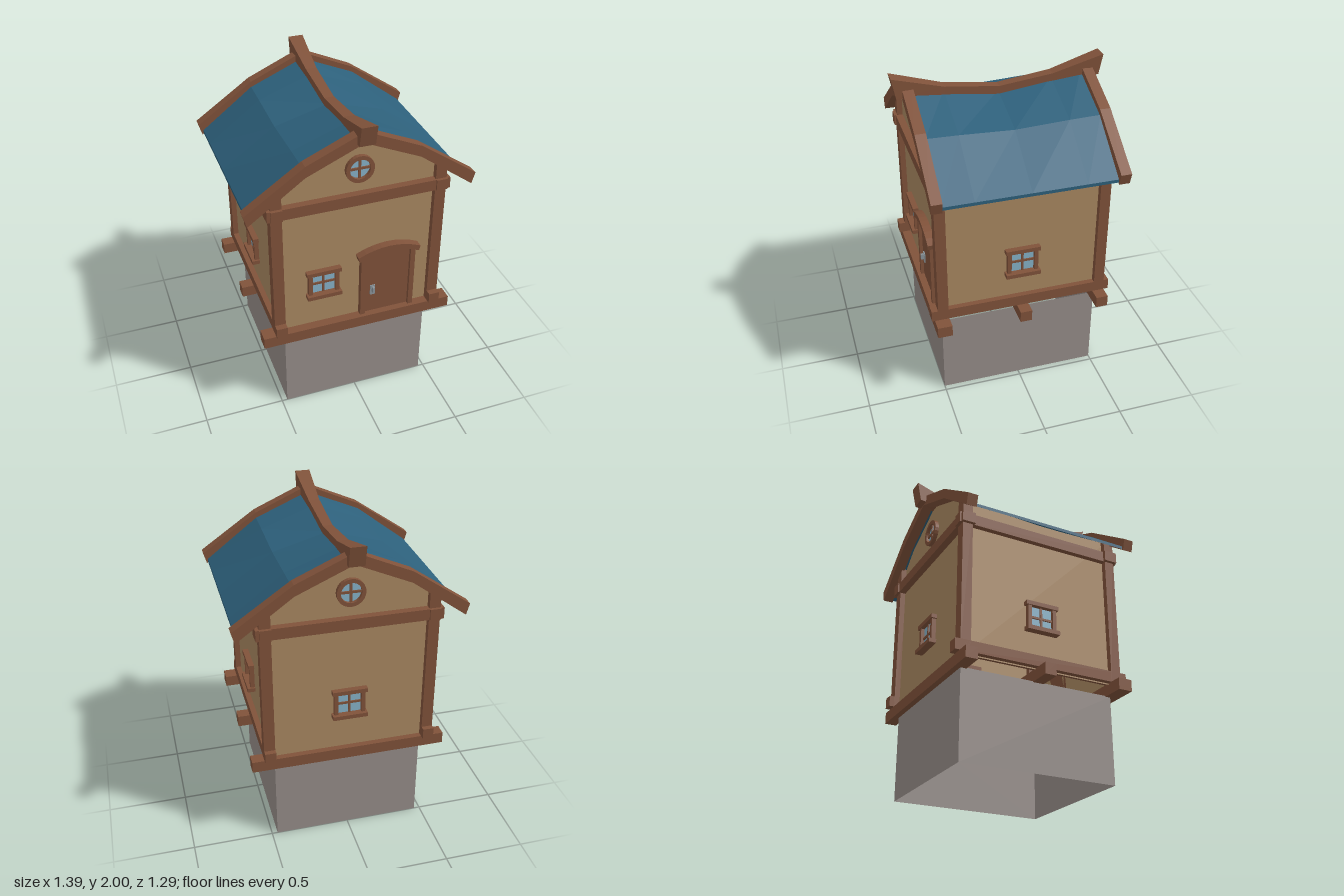
import * as THREE from 'three';

const mat = (name, color, side = THREE.FrontSide) => {
  const m = new THREE.MeshStandardMaterial({ color, side });
  m.name = name;
  return m;
};

// Joins closed sections (listed from +z to -z, counter-clockwise seen from +z) into a flat-shaded solid
function loft(sections) {
  const pos = [], n = sections[0].length, last = sections.length - 1;
  const quad = (a, b, c, d) => pos.push(...a, ...b, ...c, ...a, ...c, ...d);
  for (let k = 0; k < last; k++) {
    const s = sections[k], t = sections[k + 1];
    for (let i = 0; i < n; i++) {
      const j = (i + 1) % n;
      quad(s[i], t[i], t[j], s[j]);
    }
  }
  const f = sections[0], b = sections[last];
  for (let i = 0; i < n / 2 - 1; i++) {
    quad(f[i], f[i + 1], f[n - 2 - i], f[n - 1 - i]);
    quad(b[n - 1 - i], b[n - 2 - i], b[i + 1], b[i]);
  }
  const g = new THREE.BufferGeometry();
  g.setAttribute('position', new THREE.Float32BufferAttribute(pos, 3));
  g.computeVertexNormals();
  return g;
}

// Mirrors half profiles (centre to eave) into a closed roof-like section at depth z
function gableSection(top, bottom, z) {
  const ring = [
    ...[...top].reverse(), ...top.slice(1).map(([x, y]) => [-x, y]),
    ...bottom.slice(1).reverse().map(([x, y]) => [-x, y]), ...bottom,
  ];
  return ring.map(([x, y]) => [x, y, z]);
}

const extrude = (points, depth) => new THREE.ExtrudeGeometry(
  new THREE.Shape(points.map(([x, y]) => new THREE.Vector2(x, y))), { depth, bevelEnabled: false });

export function createModel() {
  const wood = mat('brown wood', 0x80523a);
  const plaster = mat('tan plaster', 0xa98861, THREE.DoubleSide);
  const stone = mat('grey stone', 0x968d89, THREE.DoubleSide);
  const tile = mat('blue roof', 0x2d607b);
  const glass = mat('pale blue glass', 0x86b2c8);
  const metal = mat('grey metal', 0x8b959b);

  const model = new THREE.Group();
  model.name = 'house';
  const add = (parent, name, geometry, material, x = 0, y = 0, z = 0) => {
    const m = new THREE.Mesh(geometry, material);
    m.name = name;
    m.position.set(x, y, z);
    parent.add(m);
    return m;
  };
  // Box given by its limits on each axis
  const box = (parent, name, material, [x0, x1], [y0, y1], [z0, z1]) =>
    add(parent, name, new THREE.BoxGeometry(x1 - x0, y1 - y0, z1 - z0), material,
      (x0 + x1) / 2, (y0 + y1) / 2, (z0 + z1) / 2);
  const group = (name) => {
    const g = new THREE.Group();
    g.name = name;
    model.add(g);
    return g;
  };

  // Stone base: four walls, open above and below
  const base = group('base');
  for (const s of [-1, 1]) {
    add(base, 'baseWall', new THREE.PlaneGeometry(0.93, 0.55), stone, 0, 0.275, s * 0.5)
      .rotation.y = s > 0 ? 0 : Math.PI;
    add(base, 'baseWall', new THREE.PlaneGeometry(1, 0.55), stone, s * 0.465, 0.275, 0)
      .rotation.y = s * Math.PI / 2;
  }

  // Plaster walls with gables
  const walls = group('walls');
  const gable = new THREE.ShapeGeometry(new THREE.Shape([
    [-0.5, 0.61], [0.5, 0.61], [0.5, 1.61], [0.34, 1.735], [0, 1.885], [-0.34, 1.735], [-0.5, 1.61],
  ].map(([x, y]) => new THREE.Vector2(x, y))));
  for (const s of [-1, 1]) {
    add(walls, 'gableWall', gable, plaster, 0, 0, s * 0.5).rotation.y = s > 0 ? 0 : Math.PI;
    add(walls, 'sideWall', new THREE.PlaneGeometry(1, 1), plaster, s * 0.5, 1.11, 0)
      .rotation.y = s * Math.PI / 2;
  }

  // Timber frame
  const frame = group('timberFrame');
  for (const [z0, z1] of [[0.467, 0.557], [-0.037, 0.037], [-0.537, -0.462]])
    box(frame, 'floorBeam', wood, [-0.61, 0.61], [0.545, 0.618], [z0, z1]);
  for (const s of [-1, 1]) {
    const xs = s > 0 ? [0.466, 0.534] : [-0.534, -0.466];
    box(frame, 'sideSill', wood, xs, [0.618, 0.687], [-0.567, 0.575]);
    box(frame, 'sidePlate', wood, xs, [1.45, 1.52], [-0.555, 0.555]);
    box(frame, 'crossBeam', wood, [-0.555, 0.555], [1.45, 1.52], s > 0 ? [0.46, 0.545] : [-0.545, -0.46]);
    for (const z of [-0.535, 0.47]) {
      const post = [[0.466, 0.618], [0.534, 0.618], [0.534, 1.59], [0.466, 1.64]];
      add(frame, 'cornerPost', extrude(s > 0 ? post : post.map(([x, y]) => [-x, y]).reverse(), 0.065),
        wood, 0, 0, z);
    }
  }

  // Sagging roof: ridge, knee and eave heights at each depth
  const roof = group('roof');
  const slices = [[0.52, 1.9, 1.755], [0.33, 1.875, 1.75], [0, 1.83, 1.735],
    [-0.33, 1.875, 1.75], [-0.52, 1.9, 1.755]];
  add(roof, 'roofCover', loft(slices.map(([z, ridge, knee]) => {
    const top = [[0, ridge], [0.34, knee], [0.667, 1.505]];
    return gableSection(top, top.map(([x, y]) => [x, y - 0.02]), z);
  })), tile);

  // Bargeboards on both gables
  const outer = [[0, 1.94], [0.34, 1.79], [0.695, 1.545]];
  const inner = [[0, 1.87], [0.34, 1.72], [0.675, 1.475]];
  for (const [z0, z1] of [[0.58, 0.515], [-0.515, -0.58]])
    add(roof, 'bargeboard', loft([gableSection(outer, inner, z0), gableSection(outer, inner, z1)]), wood);

  // Ridge beam with raised, flared ends: half width, top (z, y), bottom (z, y)
  const ridge = [[0.047, 0.643, 2, 0.618, 1.875], [0.034, 0.33, 1.91, 0.33, 1.85],
    [0.03, 0, 1.87, 0, 1.81], [0.034, -0.33, 1.91, -0.33, 1.85], [0.047, -0.643, 2, -0.618, 1.875]];
  add(roof, 'ridgeBeam', loft(ridge.map(([w, zt, yt, zb, yb]) =>
    [[w, yt, zt], [-w, yt, zt], [-w, yb, zb], [w, yb, zb]])), wood);

  // Square windows, built facing +z with the wall at z = 0
  const squareWindow = (x, y, z, turn) => {
    const w = group('window');
    box(w, 'glass', glass, [-0.075, 0.075], [-0.07, 0.07], [0, 0.006]);
    for (const s of [-1, 1])
      box(w, 'jamb', wood, s > 0 ? [0.072, 0.096] : [-0.096, -0.072], [-0.072, 0.072], [0, 0.028]);
    box(w, 'sill', wood, [-0.108, 0.108], [-0.096, -0.07], [0, 0.048]);
    box(w, 'lintel', wood, [-0.108, 0.108], [0.07, 0.096], [0, 0.036]);
    box(w, 'muntin', wood, [-0.007, 0.007], [-0.07, 0.07], [0, 0.014]);
    box(w, 'muntin', wood, [-0.072, 0.072], [-0.007, 0.007], [0, 0.014]);
    w.position.set(x, y, z);
    w.rotation.y = turn;
  };
  squareWindow(-0.217, 0.925, 0.5, 0);
  squareWindow(0, 0.938, -0.5, Math.PI);
  squareWindow(0.5, 0.938, 0, Math.PI / 2);
  squareWindow(-0.5, 0.938, 0, -Math.PI / 2);

  // Round gable windows
  const ringShape = new THREE.Shape().absarc(0, 0, 0.086, 0, Math.PI * 2);
  ringShape.holes.push(new THREE.Path().absarc(0, 0, 0.062, 0, Math.PI * 2, true));
  const ring = new THREE.ExtrudeGeometry(ringShape, { depth: 0.025, bevelEnabled: false, curveSegments: 12 });
  for (const s of [-1, 1]) {
    const w = group('roundWindow');
    add(w, 'roundFrame', ring, wood);
    add(w, 'roundGlass', new THREE.CircleGeometry(0.065, 24), glass, 0, 0, 0.005);
    box(w, 'muntin', wood, [-0.007, 0.007], [-0.063, 0.063], [0, 0.014]);
    box(w, 'muntin', wood, [-0.063, 0.063], [-0.007, 0.007], [0, 0.014]);
    w.position.set(0, 1.673, s * 0.5);
    w.rotation.y = s > 0 ? 0 : Math.PI;
  }

  // Door with arched lintel
  const door = group('door');
  door.position.set(0.192, 0, 0.5);
  const arch = (halfWidth, side, crown) => Array.from({ length: 9 }, (_, i) => {
    const t = 1 - i / 4;
    return [t * halfWidth, crown - (crown - side) * t * t];
  });
  add(door, 'doorPanel', extrude([[-0.147, 0.618], [0.147, 0.618], ...arch(0.147, 1.065, 1.09)], 0.015), wood);
  for (const s of [-1, 1])
    box(door, 'doorJamb', wood, s > 0 ? [0.145, 0.176] : [-0.176, -0.145], [0.618, 1.06], [0, 0.035]);
  add(door, 'doorLintel', extrude([...arch(0.2, 1.072, 1.12), ...arch(0.192, 1.038, 1.085).reverse()], 0.05), wood);
  box(door, 'handlePlate', metal, [-0.108, -0.076], [0.75, 0.82], [0.014, 0.022]);
  box(door, 'handleLever', metal, [-0.098, -0.084], [0.775, 0.812], [0.022, 0.042]);

  return model;
}
